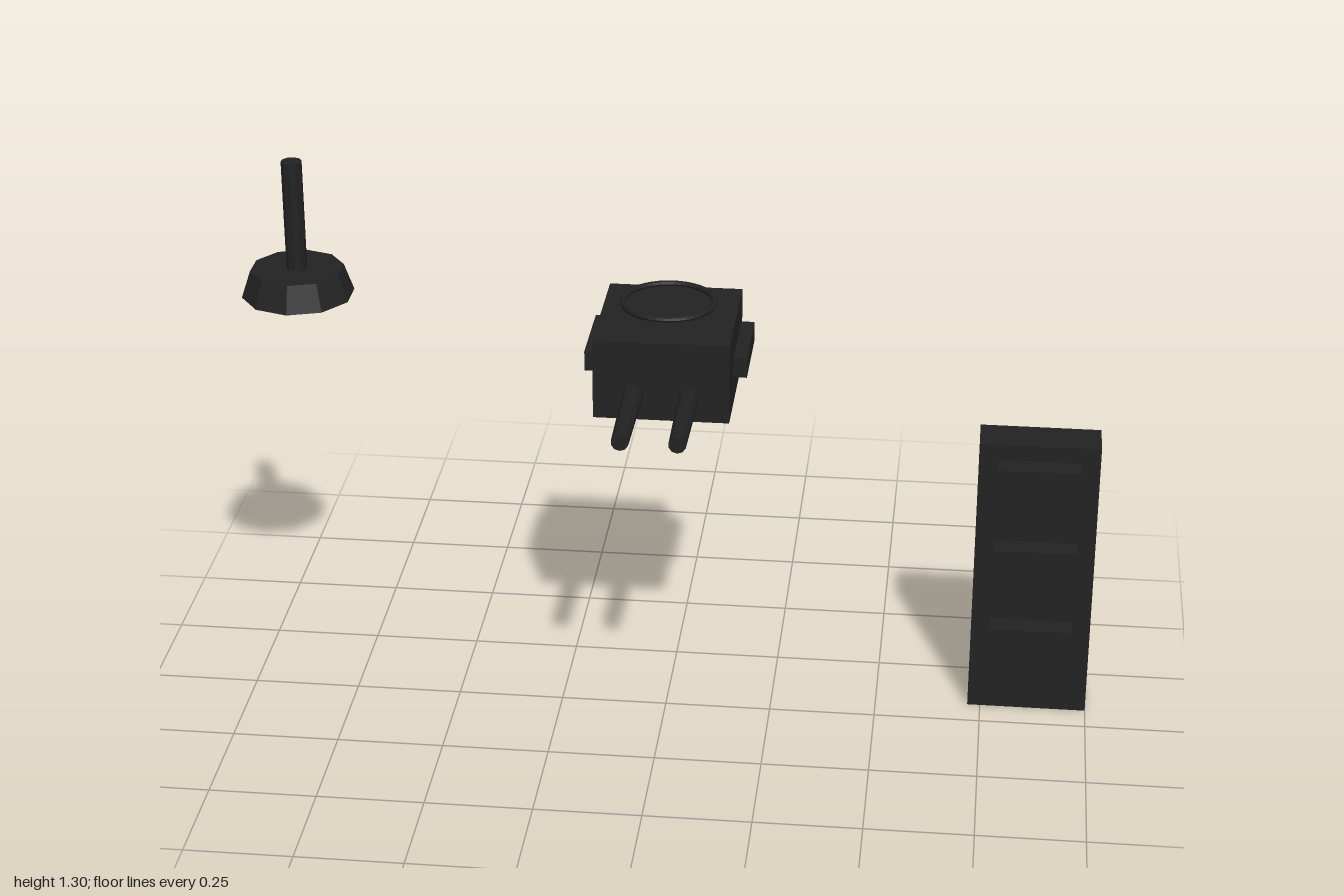
import * as THREE from 'three';

export function createModel() {
  const model = new THREE.Group();
  const charcoal = new THREE.MeshStandardMaterial({ color: 0x222222, flatShading: true });
  charcoal.name = 'charcoal';

  const add = (parent, name, geometry, x, y, z) => {
    const mesh = new THREE.Mesh(geometry, charcoal);
    mesh.name = name;
    mesh.position.set(x, y, z);
    parent.add(mesh);
    return mesh;
  };
  const group = (name, x, y, z) => {
    const g = new THREE.Group();
    g.name = name;
    g.position.set(x, y, z);
    model.add(g);
    return g;
  };

  // Antenna: ten-sided flared foot with a thin mast
  const antenna = group('antenna', -0.875, 0.977, -0.127);
  add(antenna, 'antennaFoot', new THREE.CylinderGeometry(0.109, 0.131, 0.064, 10), 0, 0.032, 0);
  add(antenna, 'antennaMast', new THREE.CylinderGeometry(0.024, 0.024, 0.27, 10), 0, 0.193, 0);

  // Turret: box body, side rails, twin barrels and a hovering ring
  const turret = group('turret', -0.007, 0.869, -0.125);
  add(turret, 'turretBody', new THREE.BoxGeometry(0.313, 0.192, 0.33), 0, 0, 0);
  for (const side of [-1, 1]) {
    add(turret, 'sideRail', new THREE.BoxGeometry(0.036, 0.048, 0.209), side * 0.17, 0, -0.036);
    const barrel = add(turret, 'barrel', new THREE.CylinderGeometry(0.02, 0.024, 0.262, 10),
      side * 0.064, -0.034, 0.286);
    barrel.rotation.x = Math.PI / 2;
  }
  const ring = add(turret, 'turretRing', new THREE.TorusGeometry(0.106, 0.007, 8, 40), 0, 0.128, -0.002);
  ring.rotation.x = Math.PI / 2;

  // Panel: upright slab with three ledges on its front
  const panel = group('panel', 0.86, 0, -0.126);
  add(panel, 'panelSlab', new THREE.BoxGeometry(0.28, 0.696, 0.104), 0, 0.348, 0);
  for (const y of [0.234, 0.442, 0.651]) {
    add(panel, 'ledge', new THREE.BoxGeometry(0.193, 0.013, 0.06), 0, y, 0.077);
  }

  return model;
}
